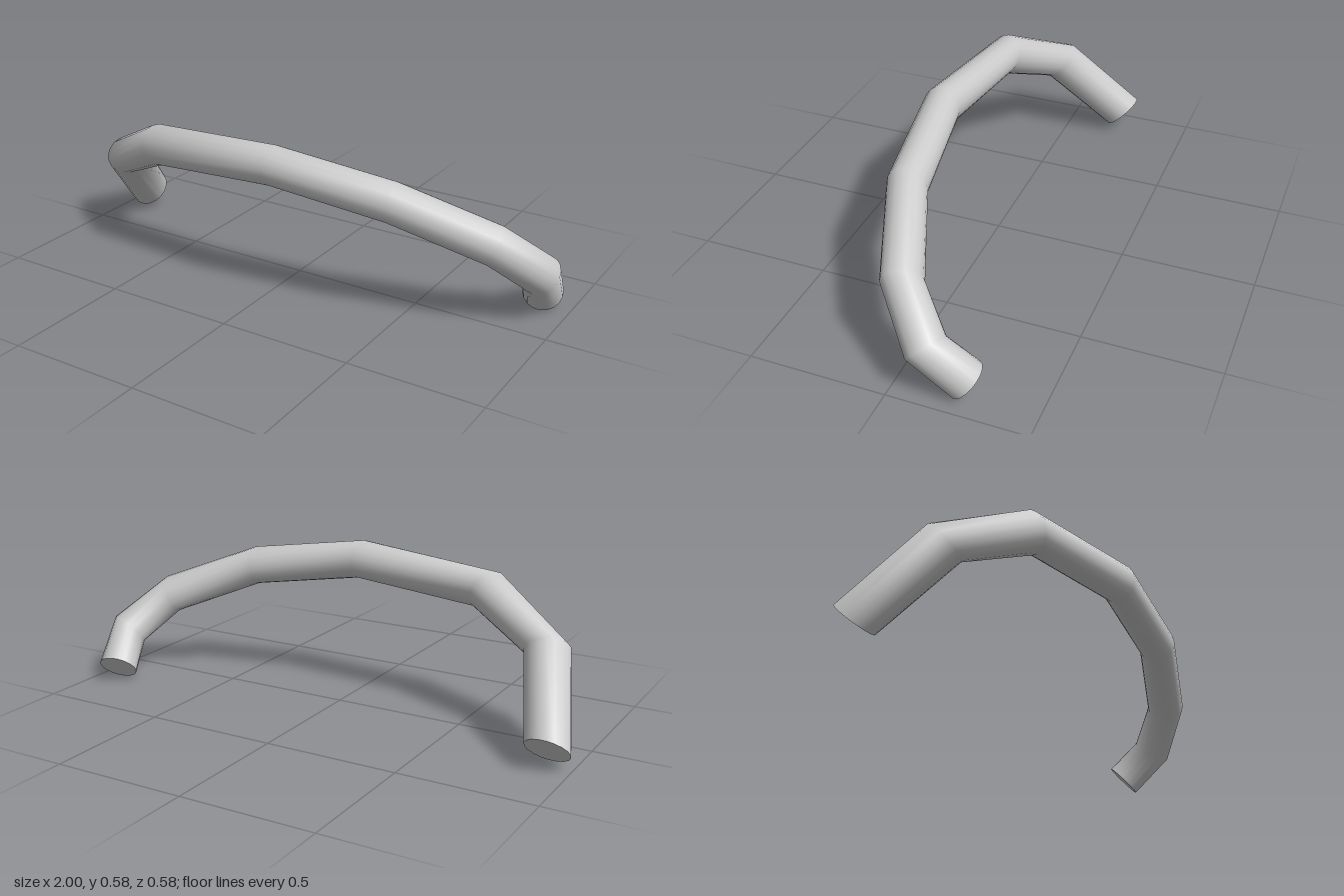
import * as THREE from 'three';
import { toCreasedNormals } from 'three/addons/utils/BufferGeometryUtils.js';

const SIDES = 18;

// Rings along the bent bar: x, y, cut direction in the tilted plane (degrees), radius
const RINGS = [
  [-0.92, 0.07, 90, 0.081],
  [-0.81, 0.328, 73, 0.082],
  [-0.517, 0.471, 35, 0.079],
  [0.027, 0.511, 6, 0.074],
  [0.47, 0.447, -11, 0.074],
  [0.80, 0.315, -30, 0.074],
  [0.925, 0.18, -70, 0.076],
  [0.89, 0.055, -101, 0.074],
];

// The bar lies in a plane leaning 45 degrees, y - z = 0.297
const centre = ([x, y]) => new THREE.Vector3(x, y, y - 0.297);
const up = new THREE.Vector3(0, Math.SQRT1_2, Math.SQRT1_2);
const normal = new THREE.Vector3(0, -Math.SQRT1_2, Math.SQRT1_2);

function barGeometry() {
  const pos = [], index = [];
  for (const ring of RINGS) {
    const a = THREE.MathUtils.degToRad(ring[2]);
    const across = new THREE.Vector3(-Math.sin(a), 0, 0).addScaledVector(up, Math.cos(a));
    for (let j = 0; j < SIDES; j++) {
      const t = (j / SIDES) * Math.PI * 2;
      const p = centre(ring)
        .addScaledVector(across, ring[3] * Math.cos(t))
        .addScaledVector(normal, ring[3] * Math.sin(t));
      pos.push(p.x, p.y, p.z);
    }
  }
  // Walls between neighbouring rings
  const last = RINGS.length - 1;
  for (let i = 0; i < last; i++) {
    for (let j = 0; j < SIDES; j++) {
      const k = (j + 1) % SIDES;
      const a = i * SIDES + j, b = i * SIDES + k;
      index.push(a, b, a + SIDES, b, b + SIDES, a + SIDES);
    }
  }
  // Flat end caps
  const start = pos.length / 3, end = start + 1;
  pos.push(...centre(RINGS[0]).toArray(), ...centre(RINGS[last]).toArray());
  for (let j = 0; j < SIDES; j++) {
    const k = (j + 1) % SIDES;
    index.push(start, k, j, end, last * SIDES + j, last * SIDES + k);
  }
  const geo = new THREE.BufferGeometry();
  geo.setAttribute('position', new THREE.Float32BufferAttribute(pos, 3));
  geo.setIndex(index);
  return toCreasedNormals(geo, 1.0);
}

export function createModel() {
  const group = new THREE.Group();
  group.name = 'handle';
  const bar = new THREE.Mesh(barGeometry(), new THREE.MeshStandardMaterial({ color: 0xcccccc }));
  bar.name = 'bentBar';
  group.add(bar);
  return group;
}
